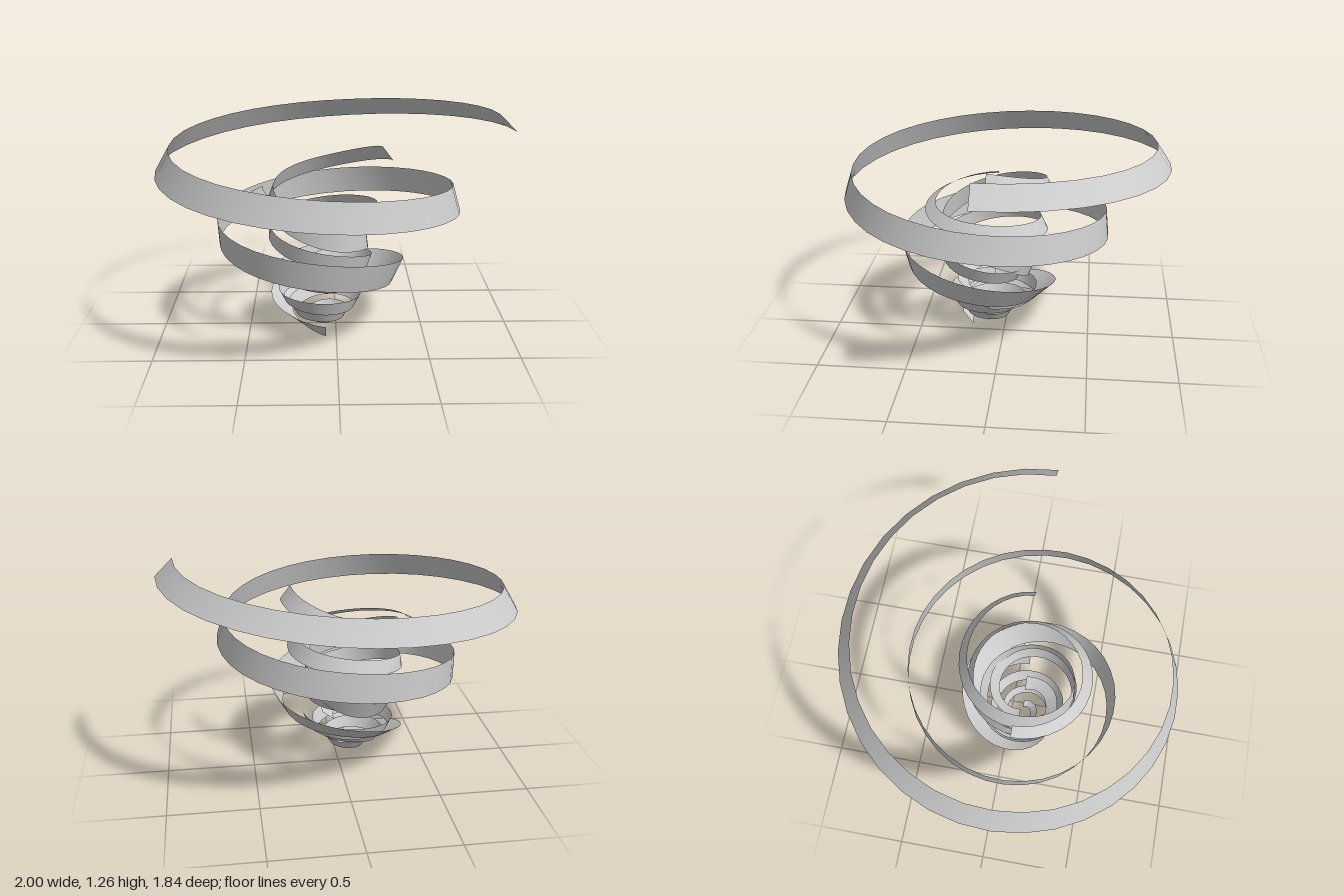
import * as THREE from 'three';

const CENTRE_X = -0.06, CENTRE_Z = 0.07;
const STEPS = 9; // segments per quarter turn

const material = new THREE.MeshStandardMaterial({ color: 0xcccccc, side: THREE.DoubleSide });

// A spiral band. Each row is one quarter turn:
// [top radius, top height, bottom radius, bottom height]
function ribbon(name, startAngle, rows) {
  const top = new THREE.SplineCurve(rows.map((r) => new THREE.Vector2(r[0], r[1])));
  const bottom = new THREE.SplineCurve(rows.map((r) => new THREE.Vector2(r[2], r[3])));
  const count = (rows.length - 1) * STEPS;
  const positions = [], index = [];
  for (let i = 0; i <= count; i++) {
    const t = i / count;
    const angle = startAngle + (i / STEPS) * Math.PI / 2;
    for (const edge of [top, bottom]) {
      const p = edge.getPoint(t);
      positions.push(CENTRE_X + p.x * Math.cos(angle), p.y, CENTRE_Z - p.x * Math.sin(angle));
    }
    if (i < count) {
      const a = i * 2;
      index.push(a, a + 1, a + 2, a + 2, a + 1, a + 3);
    }
  }
  const geometry = new THREE.BufferGeometry();
  geometry.setAttribute('position', new THREE.Float32BufferAttribute(positions, 3));
  geometry.setIndex(index);
  geometry.computeVertexNormals();
  const mesh = new THREE.Mesh(geometry, material);
  mesh.name = name;
  return mesh;
}

export function createModel() {
  const group = new THREE.Group();
  group.name = 'spiralRibbons';

  // Large outer band, tilting from outward-bottom to outward-top as it falls
  group.add(ribbon('outerRibbon', 0, [
    [0.96, 1.26, 1.06, 1.16],
    [0.91, 1.18, 0.99, 1.06],
    [0.86, 1.09, 0.94, 0.95],
    [0.80, 1.00, 0.85, 0.85],
    [0.70, 0.89, 0.74, 0.74],
    [0.65, 0.79, 0.665, 0.63],
    [0.61, 0.68, 0.60, 0.53],
    [0.535, 0.58, 0.50, 0.42],
    [0.435, 0.45, 0.36, 0.31],
    [0.37, 0.33, 0.25, 0.23],
    [0.31, 0.20, 0.19, 0.12],
    [0.18, 0.08, 0.12, 0.0],
  ]));

  // Tall inner band
  group.add(ribbon('innerRibbon', 0, [
    [0.32, 1.08, 0.38, 1.00],
    [0.31, 0.96, 0.36, 0.87],
    [0.29, 0.86, 0.33, 0.75],
    [0.29, 0.72, 0.30, 0.58],
    [0.23, 0.59, 0.24, 0.50],
    [0.25, 0.45, 0.21, 0.34],
    [0.27, 0.38, 0.22, 0.31],
    [0.21, 0.31, 0.14, 0.27],
    [0.14, 0.28, 0.07, 0.23],
  ]));

  // Middle band, starting on the opposite side
  group.add(ribbon('middleRibbon', Math.PI, [
    [0.35, 0.86, 0.41, 0.83],
    [0.33, 0.80, 0.39, 0.76],
    [0.29, 0.77, 0.34, 0.69],
    [0.28, 0.72, 0.32, 0.64],
    [0.31, 0.65, 0.32, 0.57],
    [0.31, 0.56, 0.29, 0.46],
    [0.26, 0.47, 0.23, 0.39],
    [0.20, 0.42, 0.14, 0.34],
    [0.14, 0.32, 0.07, 0.28],
  ]));

  // Small tight band at the foot
  group.add(ribbon('footRibbon', 0, [
    [0.26, 0.30, 0.24, 0.23],
    [0.26, 0.285, 0.24, 0.21],
    [0.27, 0.26, 0.24, 0.20],
    [0.25, 0.25, 0.22, 0.17],
    [0.20, 0.23, 0.16, 0.16],
    [0.19, 0.21, 0.15, 0.15],
    [0.21, 0.18, 0.17, 0.11],
    [0.18, 0.165, 0.15, 0.10],
    [0.13, 0.14, 0.10, 0.09],
    [0.12, 0.13, 0.09, 0.08],
    [0.12, 0.10, 0.08, 0.06],
    [0.09, 0.09, 0.05, 0.05],
    [0.06, 0.06, 0.02, 0.04],
  ]));

  return group;
}
